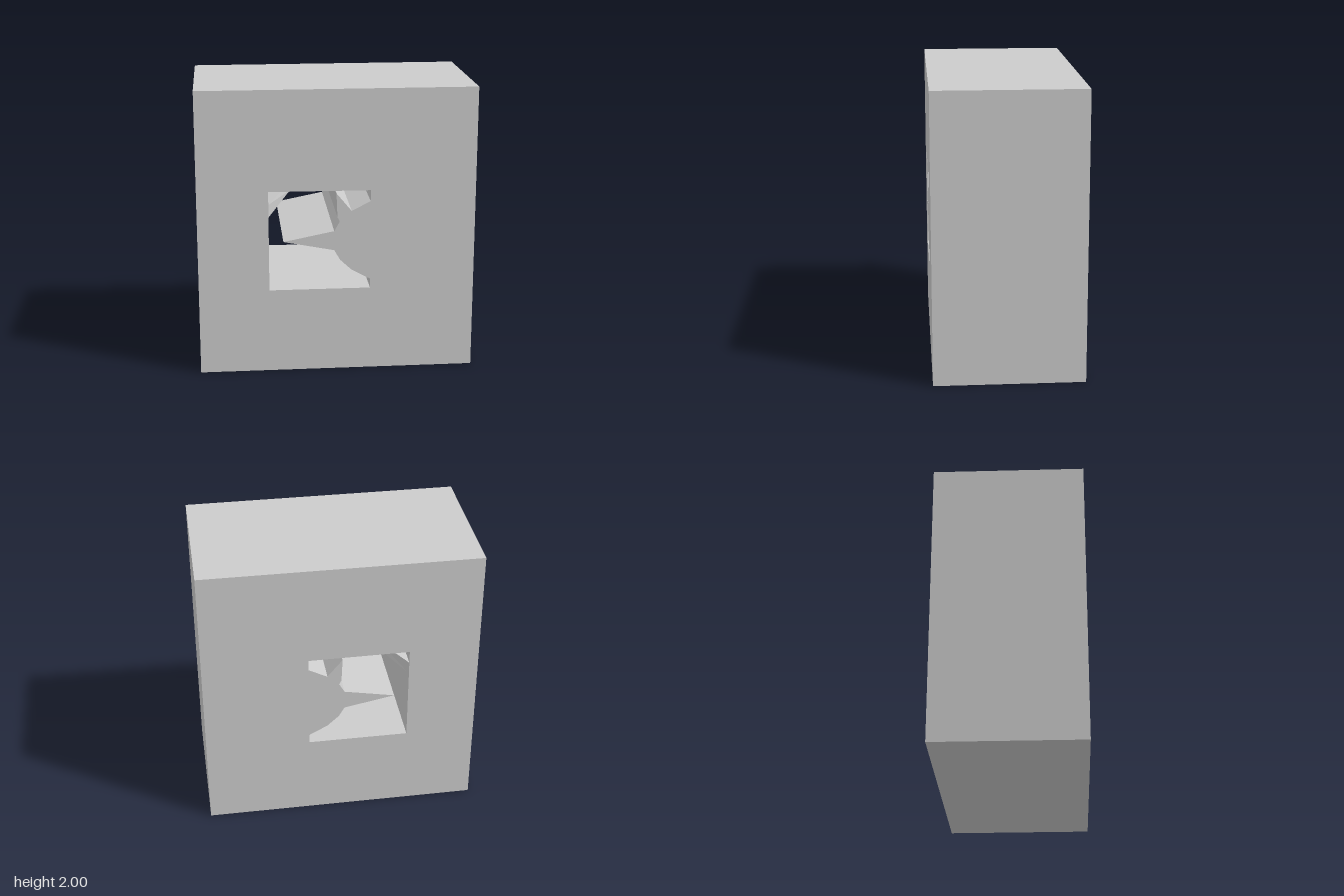
import * as THREE from 'three';

const HALF_WIDTH = 0.957, HEIGHT = 2, DEPTH = 1.034;
const material = new THREE.MeshStandardMaterial({ color: 0xcccccc, flatShading: true });

const points = (list) => list.map(([x, y]) => new THREE.Vector2(x, y));

// Solid slab with a jagged opening cut straight through it
function createBlock() {
  const shape = new THREE.Shape(points([
    [-HALF_WIDTH, 0], [HALF_WIDTH, 0], [HALF_WIDTH, HEIGHT], [-HALF_WIDTH, HEIGHT],
  ]));
  shape.holes.push(new THREE.Path(points([
    [-0.47, 0.595], [0.23, 0.595], [0.23, 0.66], [0.1, 0.73], [0.02, 0.805],
    [-0.02, 0.875], [-0.37, 0.943], [-0.02, 1.012], [0.018, 1.08], [0.002, 1.11],
    [-0.005, 1.28], [0.1, 1.153], [0.23, 1.22], [0.23, 1.297], [-0.47, 1.3],
  ])));
  const geometry = new THREE.ExtrudeGeometry(shape, { depth: DEPTH, bevelEnabled: false });
  geometry.translate(0, 0, -DEPTH / 2);
  const block = new THREE.Mesh(geometry, material);
  block.name = 'block';
  return block;
}

// Tapering ledge lofted from the side wall of the opening to a blunt tip
function createLedge() {
  const half = DEPTH / 2;
  // Each section: bottom x, bottom y, top x, top y, back z, front z
  const sections = [
    [-0.47, 1.12, -0.47, 1.21, -half, half],
    [-0.297, 1.2, -0.31, 1.25, -0.31, 0.1],
    [-0.24, 1.2, -0.242, 1.25, -0.24, 0.04],
  ];
  const vertices = [], indices = [];
  for (const [bx, by, tx, ty, back, front] of sections) {
    vertices.push(bx, by, back, bx, by, front, tx, ty, front, tx, ty, back);
  }
  for (let s = 0; s < sections.length - 1; s++) {
    for (let i = 0; i < 4; i++) {
      const a = s * 4 + i, b = s * 4 + (i + 1) % 4;
      indices.push(a, a + 4, b, b, a + 4, b + 4);
    }
  }
  // Tip cap, facing +x
  const e = (sections.length - 1) * 4;
  indices.push(e, e + 2, e + 1, e, e + 3, e + 2);

  const geometry = new THREE.BufferGeometry();
  geometry.setAttribute('position', new THREE.Float32BufferAttribute(vertices, 3));
  geometry.setIndex(indices);
  const flat = geometry.toNonIndexed();
  flat.computeVertexNormals();
  const ledge = new THREE.Mesh(flat, material);
  ledge.name = 'innerLedge';
  return ledge;
}

export function createModel() {
  const model = new THREE.Group();
  model.name = 'piercedBlock';
  model.add(createBlock(), createLedge());
  return model;
}
